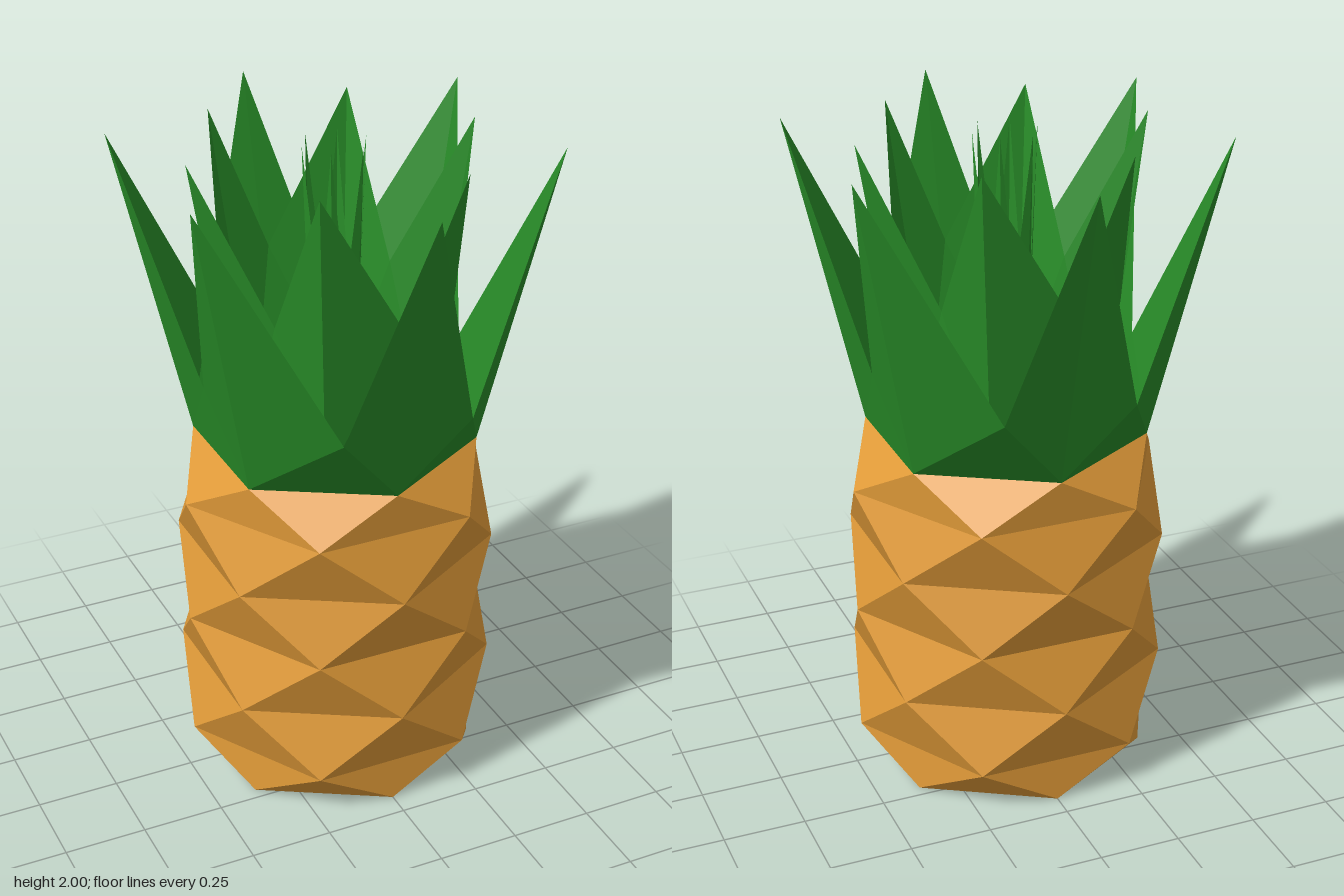
import * as THREE from 'three';

const SIDES = 6;
const STEP = Math.PI / 3;
const CROWN_Y = 1.075;

const skin = new THREE.MeshStandardMaterial({ color: 0xe09a38, flatShading: true });
const leaf = new THREE.MeshStandardMaterial({ color: 0x288c28, flatShading: true, side: THREE.DoubleSide });

// Point on a ring; angle 0 faces the front and grows towards +x
const polar = (r, angle, y) => new THREE.Vector3(r * Math.sin(angle), y, r * Math.cos(angle));

// Six-cornered ring; shift is a fraction of one side
const ring = (r, y, shift) =>
  Array.from({ length: SIDES }, (_, i) => polar(r, (i + shift) * STEP, y));

function facetMesh(name, points, material) {
  const geometry = new THREE.BufferGeometry().setFromPoints(points);
  geometry.computeVertexNormals();
  const mesh = new THREE.Mesh(geometry, material);
  mesh.name = name;
  return mesh;
}

// Fruit: hexagonal rings, each turned half a side against the one below
function createFruit() {
  const profile = [[0.427, 0], [0.483, 0.135], [0.483, 0.335], [0.483, 0.54],
    [0.483, 0.74], [0.483, 0.94], [0.427, CROWN_Y]];
  const rings = profile.map(([r, y], k) => ring(r, y, (k % 2) / 2));
  const tris = [];
  for (let k = 0; k < rings.length - 1; k++) {
    const low = rings[k], high = rings[k + 1];
    for (let i = 0; i < SIDES; i++) {
      const j = (i + 1) % SIDES;
      if (k % 2 === 0) tris.push(low[i], low[j], high[i], low[j], high[j], high[i]);
      else tris.push(low[i], low[j], high[j], low[i], high[j], high[i]);
    }
  }
  // Underside
  const base = rings[0];
  for (let i = 1; i < SIDES - 1; i++) tris.push(base[0], base[i + 1], base[i]);
  return facetMesh('fruit', tris, skin);
}

// One crown of leaves: flaring walls rising to a tip over every base corner.
// valleys holds three [x, y, z] notches, repeated by a half turn.
function createLeafRing(name, baseRadius, tipRadius, shift, valleys) {
  const base = ring(baseRadius, CROWN_Y, shift);
  const tips = ring(tipRadius, 2, shift);
  const tris = [];
  for (let i = 0; i < SIDES; i++) {
    const j = (i + 1) % SIDES;
    const s = i < 3 ? 1 : -1;
    const [x, y, z] = valleys[i % 3];
    const notch = new THREE.Vector3(s * x, y, s * z);
    tris.push(base[i], base[j], notch, base[i], notch, tips[i], base[j], tips[j], notch);
  }
  return facetMesh(name, tris, leaf);
}

export function createModel() {
  const group = new THREE.Group();
  group.name = 'pineapple';
  group.add(createFruit());

  // Green floor the leaves grow from
  const rim = ring(0.427, CROWN_Y, 0);
  const floor = [];
  for (let i = 1; i < SIDES - 1; i++) floor.push(rim[0], rim[i], rim[i + 1]);
  group.add(facetMesh('crownFloor', floor, leaf));

  group.add(createLeafRing('outerLeaves', 0.427, 0.65, 0,
    [[0.2, 1.31, 0.49], [0.415, 1.31, 0], [0.2, 1.31, -0.49]]));
  group.add(createLeafRing('middleLeaves', 0.293, 0.447, 0.5,
    [[0.25, 1.53, 0.26], [0.25, 1.53, -0.14], [-0.05, 1.55, -0.36]]));
  group.add(createLeafRing('innerLeaves', 0.067, 0.1, 0.5,
    [[0.065, 1.55, 0.037], [0.065, 1.55, -0.037], [0, 1.55, -0.075]]));
  return group;
}
